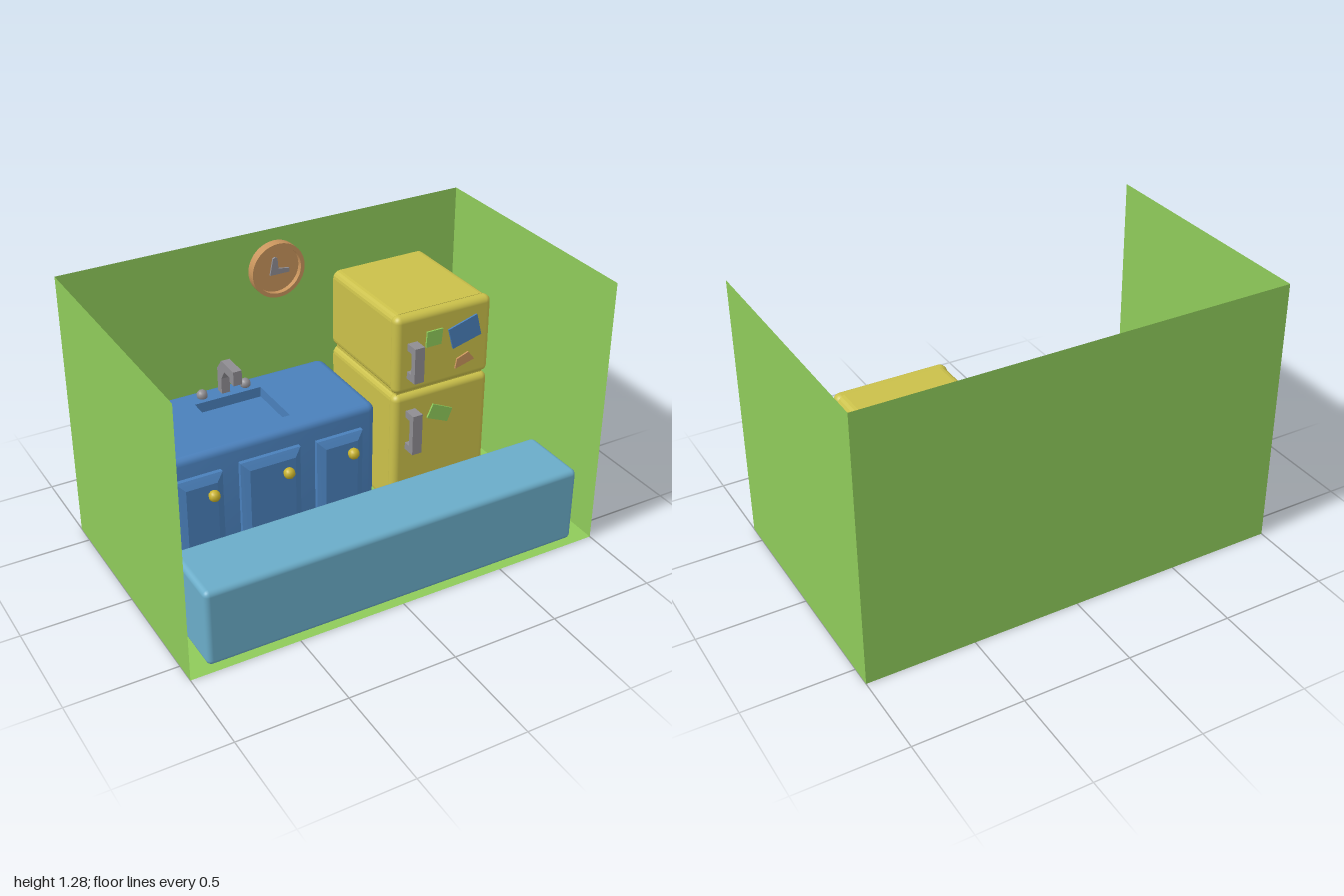
import * as THREE from 'three';
import { toCreasedNormals } from 'three/addons/utils/BufferGeometryUtils.js';
import { RoundedBoxGeometry } from 'three/addons/geometries/RoundedBoxGeometry.js';

const mat = (name, color, side = THREE.FrontSide) => {
  const m = new THREE.MeshStandardMaterial({ color, side });
  m.name = name;
  return m;
};

// Counter-clockwise rounded rectangle, n segments per corner
function ring(x0, x1, y0, y1, r = 0, n = 0) {
  const pts = [];
  const centres = [[x1 - r, y1 - r], [x0 + r, y1 - r], [x0 + r, y0 + r], [x1 - r, y0 + r]];
  centres.forEach(([cx, cy], k) => {
    for (let j = 0; j <= n; j++) {
      const a = (k + (n ? j / n : 0)) * Math.PI / 2;
      pts.push(new THREE.Vector2(cx + r * Math.cos(a), cy + r * Math.sin(a)));
    }
  });
  return pts;
}

// Skin a stack of [ring, depth] sections, optionally closing the last one
function loft(sections, cap) {
  const pos = [], idx = [], n = sections[0][0].length;
  for (const [pts, d] of sections) for (const p of pts) pos.push(p.x, p.y, d);
  for (let k = 0; k < sections.length - 1; k++) {
    for (let i = 0; i < n; i++) {
      const a = k * n + i, b = k * n + (i + 1) % n;
      idx.push(a, b, b + n, a, b + n, a + n);
    }
  }
  const e = (sections.length - 1) * n;
  if (cap) for (let i = 1; i < n - 1; i++) idx.push(e, e + i, e + i + 1);
  const g = new THREE.BufferGeometry();
  g.setAttribute('position', new THREE.Float32BufferAttribute(pos, 3));
  g.setIndex(idx);
  return toCreasedNormals(g, 0.5);
}

const shapeOf = (pts) => new THREE.Shape(pts.map((p) => (p.isVector2 ? p : new THREE.Vector2(...p))));
const extrude = (pts, depth) => new THREE.ExtrudeGeometry(shapeOf(pts), { depth, bevelEnabled: false });

export function createModel() {
  const root = new THREE.Group();
  root.name = 'kitchen';
  const green = mat('wall green', 0x8fcb5a, THREE.DoubleSide);
  const blue = mat('cabinet blue', 0x4a80bb);
  const aqua = mat('bench light blue', 0x6aacc8);
  const yellow = mat('fridge yellow', 0xcac04a);
  const gold = mat('knob gold', 0xc8b22c);
  const tan = mat('clock tan', 0xc8945c);
  const grey = mat('metal grey', 0x8f8d92);

  const add = (name, geo, material, x = 0, y = 0, z = 0, parent = root) => {
    const m = new THREE.Mesh(geo, material);
    m.name = name;
    m.position.set(x, y, z);
    parent.add(m);
    return m;
  };
  const roundBox = (name, x0, x1, y0, y1, z0, z1, r, material) =>
    add(name, new RoundedBoxGeometry(x1 - x0, y1 - y0, z1 - z0, 3, r), material,
      (x0 + x1) / 2, (y0 + y1) / 2, (z0 + z1) / 2);

  // Room shell: floor, back wall and two side walls
  const H = 1.28;
  add('floor', new THREE.PlaneGeometry(2, 1.2).rotateX(-Math.PI / 2), green);
  add('backWall', new THREE.PlaneGeometry(2, H), green, 0, H / 2, -0.6);
  for (const s of [-1, 1]) {
    add(s > 0 ? 'leftWall' : 'rightWall',
      new THREE.PlaneGeometry(1.2, H).rotateY(-s * Math.PI / 2), green, s, H / 2, 0);
  }

  // Bench across the front
  roundBox('bench', -0.91, 0.905, 0.012, 0.38, 0.25, 0.58, 0.025, aqua);

  // Sink counter: rounded body, top with a basin opening, shallow basin
  const top = 0.572, r = 0.03;
  const outline = (i) => ring(-0.83 + i, 0.255 - i, 0.07 + i, 0.585 - i, 0.04 - i, 4);
  const sections = [[outline(0), 0]];
  for (let j = 0; j <= 4; j++) {
    const a = j / 4 * Math.PI / 2;
    sections.push([outline(r * (1 - Math.cos(a))), top - r + r * Math.sin(a)]);
  }
  const basinRing = ring(-0.457, -0.127, 0.18, 0.47);
  const topShape = shapeOf(outline(r));
  topShape.holes.push(new THREE.Path(basinRing));
  const counter = new THREE.Group();
  counter.name = 'sinkCounter';
  counter.rotation.x = -Math.PI / 2;
  root.add(counter);
  add('counterBody', loft(sections, false), blue, 0, 0, 0, counter);
  add('counterTop', new THREE.ShapeGeometry(topShape), blue, 0, 0, top, counter);
  add('basin', loft([[basinRing, top], [ring(-0.457, -0.127, 0.195, 0.47), top - 0.05]], true),
    blue, 0, 0, 0, counter);

  // Cabinet doors with raised panels and faceted knobs
  for (const [x0, x1, y1, kx] of [
    [-0.745, -0.525, 0.477, -0.585], [-0.44, -0.145, 0.485, -0.222], [-0.062, 0.172, 0.477, 0.105]]) {
    const panel = (i) => ring(x0 + i, x1 - i, 0.07 + i, y1 - i);
    add('cabinetDoor', loft([[panel(0), -0.075], [panel(0), -0.05], [panel(0.012), -0.042],
      [panel(0.036), -0.028]], true), blue);
    add('doorKnob', new THREE.SphereGeometry(0.027, 10, 8), gold, kx, 0.39, -0.012);
    add('knobStem', new THREE.CylinderGeometry(0.011, 0.011, 0.03, 8).rotateX(Math.PI / 2), gold, kx, 0.39, -0.03);
  }

  // Faucet (profile drawn in z, y) and two taps
  const faucet = [[-0.54, 0.56], [-0.5, 0.56], [-0.5, 0.65], [-0.465, 0.7], [-0.41, 0.7],
    [-0.41, 0.675], [-0.37, 0.675], [-0.37, 0.745], [-0.495, 0.745], [-0.54, 0.69]];
  const sideways = (profile, width) =>
    extrude(profile.map(([z, y]) => [-z, y]), width).rotateY(Math.PI / 2).translate(-width / 2, 0, 0);
  add('faucet', sideways(faucet, 0.042), grey, -0.287);
  for (const x of [-0.4, -0.182]) {
    add('tap', new THREE.SphereGeometry(0.026, 10, 8), grey, x, 0.585, -0.515);
  }

  // Fridge: two cabinets, each with a rounded door and bracket handle
  for (const [name, y0, y1, h0, h1] of [['lower', 0.005, 0.612, 0.33, 0.532], ['upper', 0.62, 1.005, 0.7, 0.875]]) {
    add(name + 'FridgeBody', extrude(ring(0.322, 0.818, y0, y1, 0.035, 4), 0.525), yellow, 0, 0, -0.585);
    roundBox(name + 'FridgeDoor', 0.318, 0.822, y0, y1, -0.08, -0.015, 0.03, yellow);
    const bracket = [[-0.02, h0], [0.05, h0], [0.05, h1], [-0.02, h1],
      [-0.02, h1 - 0.035], [0.02, h1 - 0.035], [0.02, h0 + 0.035], [-0.02, h0 + 0.035]];
    add(name + 'FridgeHandle', sideways(bracket, 0.05), grey, 0.402);
  }
  // Seam filler between the two cabinets
  add('fridgeSeam', new THREE.BoxGeometry(0.46, 0.06, 0.54), yellow, 0.57, 0.616, -0.31);

  // Notes stuck on the fridge doors
  const notes = [
    ['squareNote', green, [[0.47, 0.834], [0.55, 0.834], [0.557, 0.91], [0.475, 0.91]]],
    ['largeNote', blue, [[0.615, 0.791], [0.765, 0.829], [0.738, 0.936], [0.588, 0.893]]],
    ['smallNote', tan, [[0.631, 0.684], [0.733, 0.711], [0.7, 0.754], [0.64, 0.733]]],
    ['lowerNote', green, [[0.49, 0.465], [0.6, 0.417], [0.626, 0.48], [0.52, 0.53]]],
  ];
  for (const [name, m, pts] of notes) add(name, extrude(pts, 0.009), m, 0, 0, -0.0155);

  // Wall clock: raised rim, recessed face, L-shaped hands
  const clock = new THREE.Group();
  clock.name = 'wallClock';
  clock.position.set(0.02, 1.095, -0.59);
  root.add(clock);
  const rim = new THREE.Shape().absarc(0, 0, 0.131, 0, Math.PI * 2);
  rim.holes.push(new THREE.Path().absarc(0, 0, 0.112, 0, Math.PI * 2, true));
  add('clockRim', new THREE.ExtrudeGeometry(rim, { depth: 0.045, bevelEnabled: false, curveSegments: 32 }),
    tan, 0, 0, 0, clock);
  add('clockFace', new THREE.CylinderGeometry(0.115, 0.115, 0.02, 32).rotateX(Math.PI / 2), tan, 0, 0, 0.01, clock);
  add('clockHands', extrude([[-0.036, -0.025], [0.062, -0.025], [0.062, -0.006], [0.006, 0.002],
    [0.002, 0.054], [-0.008, 0.06], [-0.02, 0.054]], 0.009), grey, 0, 0, 0.02, clock);

  return root;
}
